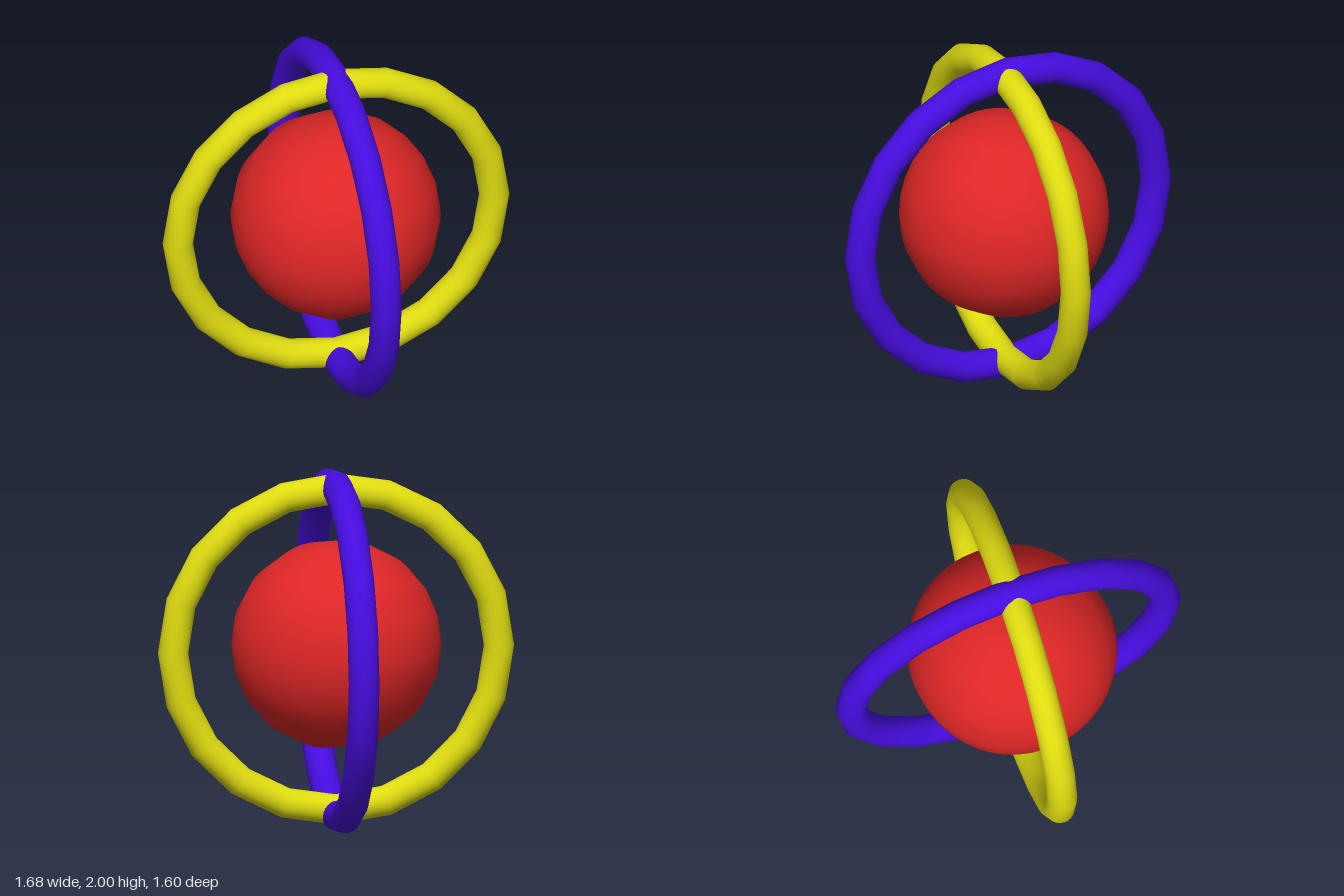
import * as THREE from 'three';

function material(name, color) {
  const m = new THREE.MeshStandardMaterial({ color });
  m.name = name;
  return m;
}

export function createModel() {
  const group = new THREE.Group();
  group.name = 'ringedSphere';

  const add = (name, geometry, mat, position, turn = 0) => {
    const mesh = new THREE.Mesh(geometry, mat);
    mesh.name = name;
    mesh.position.set(...position);
    mesh.rotation.y = THREE.MathUtils.degToRad(turn);
    group.add(mesh);
  };

  // Core ball, its poles pointing to front and back
  const ball = new THREE.SphereGeometry(0.573, 16, 32).rotateX(Math.PI / 2);
  add('coreBall', ball, material('red', 0xde2626), [0.018, 1.037, 0]);

  // Two upright crossing rings
  add('purpleRing', new THREE.TorusGeometry(0.915, 0.084, 24, 20),
    material('purple', 0x460cde), [0, 1.003, -0.015], -34.1);
  add('yellowRing', new THREE.TorusGeometry(0.894, 0.083, 24, 20),
    material('yellow', 0xdedb10), [0.018, 1.01, -0.003], 53.4);

  return group;
}
